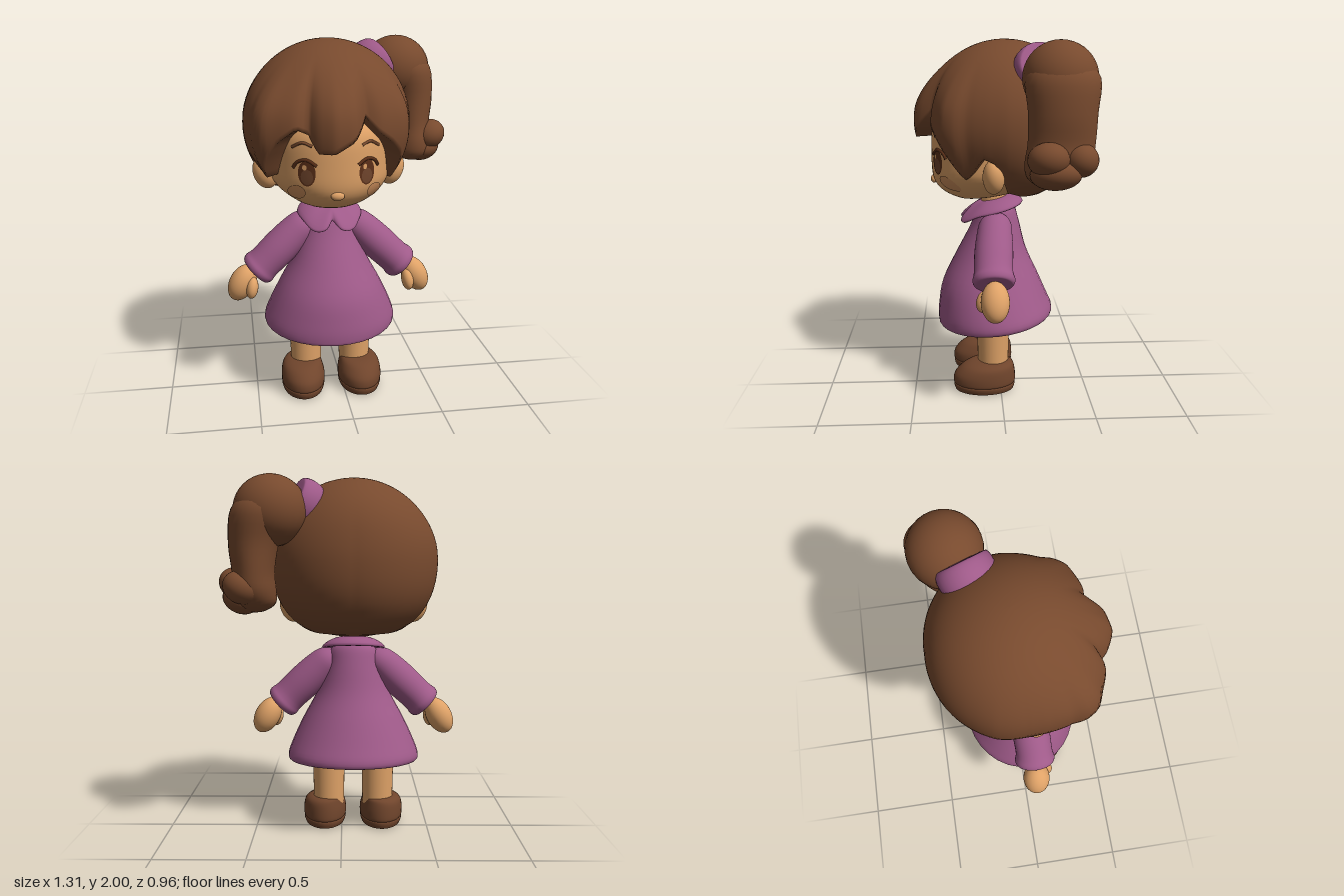
import * as THREE from 'three';

const material = (name, color) => {
  const m = new THREE.MeshStandardMaterial({ color });
  m.name = name;
  return m;
};

export function createModel() {
  const model = new THREE.Group();
  model.name = 'girl';
  const body = new THREE.Group();
  body.name = 'body';
  body.position.x = -0.067;
  model.add(body);

  const hair = material('hair brown', 0x784a2e);
  const skin = material('skin', 0xdfa267);
  const cloth = material('dress plum', 0x9f5a89);
  const leather = material('shoe brown', 0x70452c);
  const dark = material('eye brown', 0x5c3019);
  const blush = material('blush', 0xd2925e);
  const { smoothstep, lerp } = THREE.MathUtils;

  const add = (name, geometry, mat, parent = body) => {
    const mesh = new THREE.Mesh(geometry, mat);
    mesh.name = name;
    parent.add(mesh);
    return mesh;
  };

  // Closed-around surface: u runs around, v runs upward; smooth normals
  const surface = (nu, nv, fn) => {
    const pos = [], idx = [];
    for (let j = 0; j <= nv; j++)
      for (let i = 0; i < nu; i++) pos.push(...fn((i / nu) * Math.PI * 2, j / nv, j));
    for (let j = 0; j < nv; j++)
      for (let i = 0; i < nu; i++) {
        const a = j * nu + i, b = j * nu + ((i + 1) % nu);
        idx.push(a, b, b + nu, a, b + nu, a + nu);
      }
    const g = new THREE.BufferGeometry();
    g.setAttribute('position', new THREE.Float32BufferAttribute(pos, 3));
    g.setIndex(idx);
    g.computeVertexNormals();
    return g;
  };

  // Loft through elliptical rings [y, cx, cz, rx, rz]; tilt shears y along z
  const loft = (rings, tilt = 0) => {
    const centre = new THREE.CatmullRomCurve3(rings.map(r => new THREE.Vector3(r[1], r[0], r[2])), false, 'catmullrom');
    const size = new THREE.CatmullRomCurve3(rings.map(r => new THREE.Vector3(r[3], 0, r[4])), false, 'catmullrom');
    return surface(32, (rings.length - 1) * 4, (a, v) => {
      const c = centre.getPoint(v), s = size.getPoint(v);
      const z = c.z + Math.cos(a) * Math.max(0, s.z);
      return [c.x + Math.sin(a) * Math.max(0, s.x), c.y + tilt * z, z];
    });
  };

  const blob = (name, mat, [x, y, z], [rx, ry, rz], rotZ = 0, rotX = 0) => {
    const mesh = add(name, new THREE.SphereGeometry(1, 28, 20), mat);
    mesh.position.set(x, y, z);
    mesh.scale.set(rx, ry, rz);
    mesh.rotation.set(rotX, 0, rotZ);
  };

  // Head: full-cheeked, narrowing at the jaw, underside rising to the nape
  const HY = 1.38, HH = 0.28, HZ = 0.04, HD = 0.343;
  const fullness = y => Math.max(0, 1 - Math.abs((y - HY) / HH) ** 4.2);
  const halfWidth = y => 0.33 * (1 - 0.2 * (1 - smoothstep(y, 1.1, 1.3)));
  add('head', surface(64, 40, (a, v) => {
    const c = -Math.cos(v * Math.PI), y = HY + c * HH;
    const k = Math.sqrt(fullness(y));
    const z = HZ + Math.cos(a) * k * (Math.cos(a) > 0 ? HD : 0.29);
    return [Math.sin(a) * k * halfWidth(y), y + Math.max(0, -c) ** 3 * 0.18 * Math.max(0, 0.2 - z), z];
  }), skin);
  const onFace = (x, y, lift = 0) => new THREE.Vector3(x, y,
    HZ + lift + HD * Math.sqrt(Math.max(0, fullness(y) - (x / halfWidth(y)) ** 2)));

  // Face details follow the head surface
  const disc = (name, mat, x, y, rx, ry, lift) => {
    const g = new THREE.RingGeometry(0.001, 1, 28, 4);
    const p = g.attributes.position;
    for (let i = 0; i < p.count; i++) {
      const v = onFace(x + p.getX(i) * rx, y + p.getY(i) * ry, lift);
      p.setXYZ(i, v.x, v.y, v.z);
    }
    g.computeVertexNormals();
    add(name, g, mat);
  };
  const line = (name, mat, pts, r) => add(name, new THREE.TubeGeometry(
    new THREE.CatmullRomCurve3(pts.map(([x, y]) => onFace(x, y, 0.002))), 28, r, 6), mat);
  for (const s of [-1, 1]) {
    const ex = s * 0.156;
    disc('eye', dark, ex, 1.345, 0.043, 0.068, 0.005);
    disc('iris', leather, ex, 1.325, 0.03, 0.04, 0.007);
    disc('eyeGlint', skin, ex - 0.012, 1.375, 0.011, 0.014, 0.009);
    line('eyelash', dark, [[ex - s * 0.05, 1.385], [ex, 1.414], [ex + s * 0.045, 1.4], [ex + s * 0.065, 1.37]], 0.009);
    line('eyebrow', hair, [[ex - s * 0.03, 1.484], [ex + s * 0.02, 1.5], [ex + s * 0.07, 1.474]], 0.008);
    disc('cheek', blush, s * 0.205, 1.235, 0.043, 0.043, 0.008);
    blob('ear', skin, [s * 0.35, 1.295, 0.045], [0.07, 0.095, 0.06], -s * 0.25);
  }
  blob('nose', skin, [0, 1.225, 0.37], [0.036, 0.023, 0.02]);

  // Hair cap: [degrees from front, hairline height, plan radius]
  const hairline = [
    [-180, 1.16, .43], [-156, 1.16, .44], [-123, 1.16, .455], [-108, 1.165, .465], [-90, 1.2, .465], [-81, 1.37, .47],
    [-72, 1.4, .48], [-60, 1.33, .5], [-53, 1.3, .53], [-46, 1.4, .54], [-37, 1.51, .51], [-26, 1.58, .49],
    [-20, 1.55, .44], [-13, 1.46, .48], [-3, 1.46, .51], [9, 1.52, .495], [20, 1.63, .425], [28, 1.55, .46],
    [38, 1.49, .48], [46, 1.42, .5], [54, 1.27, .49], [61, 1.31, .46], [72, 1.4, .455], [81, 1.37, .455],
    [90, 1.2, .46], [108, 1.165, .46], [123, 1.16, .455], [156, 1.16, .44], [180, 1.16, .43]];
  add('hairCap', surface(144, 30, (a, v, j) => {
    let deg = a * 180 / Math.PI;
    if (deg > 180) deg -= 360;
    const i = Math.max(1, hairline.findIndex(h => h[0] >= deg));
    const [p, q] = [hairline[i - 1], hairline[i]];
    const t = (deg - p[0]) / (q[0] - p[0]);
    const low = lerp(p[1], q[1], t);
    const y = low + (2 - low) * Math.sin(Math.max(0, j - 1) / 29 * Math.PI / 2);
    let r = lerp(0.455, lerp(p[2], q[2], t), 1 - smoothstep(y, 1.62, 1.95));
    if (y > 1.55) r *= Math.sqrt(Math.max(0, 1 - ((y - 1.55) / 0.45) ** 2));
    else r *= lerp(1 - 0.25 * ((1.55 - y) / 0.3) ** 2, (1 - ((1.55 - y) / 0.43) ** 2.4) ** (1 / 2.4),
      smoothstep(Math.abs(deg), 75, 110));
    if (j === 0) r *= 0.72;   // lip tucked in toward the head
    return [Math.sin(a) * r, j === 0 ? y + 0.01 : y, -0.03 + Math.cos(a) * r];
  }), hair);
  blob('napeHair', hair, [0, 1.25, -0.14], [0.28, 0.11, 0.2]);

  // Side ponytail with curled ends and hair tie
  blob('ponytailTop', hair, [0.435, 1.812, -0.285], [0.195, 0.188, 0.192]);
  add('ponytail', loft([
    [1.28, 0.53, -0.24, 0, 0], [1.29, 0.53, -0.24, 0.06, 0.08], [1.33, 0.53, -0.25, 0.115, 0.14],
    [1.4, 0.53, -0.27, 0.12, 0.17], [1.5, 0.528, -0.285, 0.112, 0.17], [1.65, 0.523, -0.29, 0.132, 0.174],
    [1.82, 0.49, -0.29, 0.148, 0.187], [1.92, 0.46, -0.28, 0.08, 0.1]]), hair);
  blob('ponytailCurl', hair, [0.625, 1.43, -0.21], [0.1, 0.085, 0.105], 0.5);
  blob('ponytailCurl', hair, [0.58, 1.42, -0.375], [0.1, 0.085, 0.09], 0.4);
  blob('ponytailCurl', hair, [0.6, 1.35, -0.25], [0.1, 0.075, 0.13], 0.4);
  const tie = add('hairTie', loft([[-0.062, 0, 0, 0, 0], [-0.06, 0, 0, 0.11, 0.11], [-0.05, 0, 0, 0.138, 0.138],
    [0, 0, 0, 0.148, 0.148], [0.05, 0, 0, 0.138, 0.138], [0.06, 0, 0, 0.11, 0.11], [0.062, 0, 0, 0, 0]]), cloth);
  tie.position.set(0.28, 1.84, -0.2);
  tie.quaternion.setFromUnitVectors(new THREE.Vector3(0, 1, 0), new THREE.Vector3(0.8, 0.45, -0.3).normalize());

  // Neck and dress
  const neck = add('neck', new THREE.CylinderGeometry(0.07, 0.08, 0.15, 24), skin);
  neck.position.set(0, 1.09, 0.03);
  add('dress', loft([
    [0.44, 0, 0.02, 0, 0], [0.425, 0, 0.02, 0.28, 0.24], [0.4, 0, 0.025, 0.355, 0.32], [0.435, 0, 0.025, 0.378, 0.335],
    [0.52, 0, 0.04, 0.35, 0.315], [0.65, 0, 0.055, 0.29, 0.275], [0.8, 0, 0.05, 0.21, 0.205],
    [0.95, 0, 0.028, 0.155, 0.145], [1.05, 0, 0.02, 0.13, 0.11], [1.09, 0, 0.02, 0.08, 0.08]], -0.09), cloth);

  // Collar: tilted ring whose front forms two rounded lobes
  add('collar', surface(96, 16, (a, v) => {
    const d = Math.min(a, Math.PI * 2 - a);
    const lobe = Math.exp(-(((d - 0.5) / 0.4) ** 2));
    const notch = Math.exp(-((d / 0.14) ** 2));
    const outer = 0.18 + 0.02 * lobe - 0.05 * notch - 0.01 * smoothstep(d, 1.5, 3);
    const w = (1 - Math.cos(v * Math.PI * 2)) / 2;
    const r = lerp(0.065, outer, w);
    const z = 0.035 + Math.cos(a) * r;
    const y = 1.115 - 0.22 * z - (0.05 + 0.03 * lobe - 0.02 * notch) * w - 0.02 * Math.sin(v * Math.PI * 2);
    return [Math.sin(a) * r, y, z];
  }), cloth);

  // Limbs, mirrored about the body centre
  for (const s of [-1, 1]) {
    const sleeve = add('sleeve', loft([
      [0.005, 0, 0, 0, 0], [0, 0, 0, 0.07, 0.08], [0.005, 0, 0, 0.094, 0.106], [0.03, 0, 0, 0.103, 0.116],
      [0.06, 0, 0, 0.098, 0.109], [0.1, 0, 0, 0.097, 0.106], [0.2, 0, -0.005, 0.1, 0.107], [0.31, 0, -0.012, 0.095, 0.1],
      [0.39, 0, -0.018, 0.08, 0.088], [0.44, 0, -0.02, 0.04, 0.05], [0.45, 0, -0.02, 0, 0]]), cloth);
    sleeve.position.set(s * 0.424, 0.722, 0.048);
    sleeve.rotation.z = s * 0.81;
    blob('hand', skin, [s * 0.5, 0.655, 0.045], [0.073, 0.112, 0.077], s * 0.5);
    blob('thumb', skin, [s * 0.447, 0.64, 0.1], [0.034, 0.062, 0.045], s * 0.15, -0.25);

    const leg = add('leg', new THREE.CylinderGeometry(0.095, 0.088, 0.36, 28), skin);
    leg.position.set(s * 0.143, 0.3, 0.043);

    const shoe = new THREE.Group();
    shoe.name = 'shoe';
    shoe.position.x = s * 0.167;
    body.add(shoe);
    add('sole', loft([[0, 0, 0.095, 0, 0], [0, 0, 0.095, 0.1, 0.15], [0.012, 0, 0.095, 0.117, 0.172],
      [0.038, 0, 0.095, 0.124, 0.178], [0.046, 0, 0.095, 0.116, 0.17]]), leather, shoe);
    add('shoeUpper', loft([[0.04, 0, 0.095, 0.118, 0.171], [0.055, 0, 0.095, 0.125, 0.18], [0.1, 0, 0.092, 0.125, 0.176],
      [0.145, 0, 0.075, 0.114, 0.152], [0.168, -s * 0.008, 0.058, 0.096, 0.122], [0.178, -s * 0.02, 0.045, 0.07, 0.08]]), leather, shoe);
  }
  return model;
}
